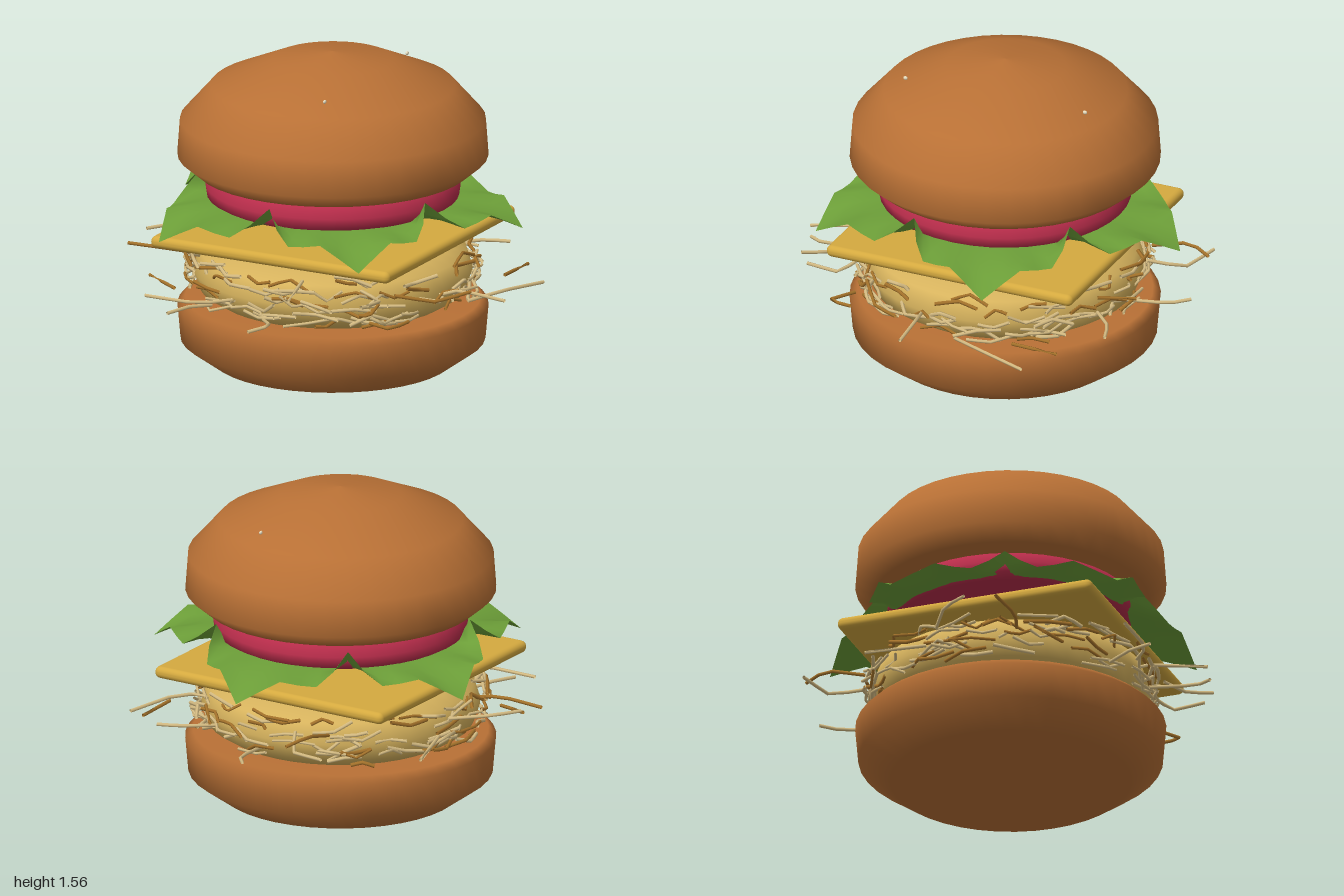
import * as THREE from 'three';
import { mergeGeometries } from 'three/addons/utils/BufferGeometryUtils.js';
import { RoundedBoxGeometry } from 'three/addons/geometries/RoundedBoxGeometry.js';

const mat = (color, extra = {}) => new THREE.MeshStandardMaterial({ color, ...extra });

// Small seeded generator
function seeded(seed) {
  return () => {
    seed = (seed * 1664525 + 1013904223) % 4294967296;
    return seed / 4294967296;
  };
}

function lathe(name, profile, material, segments = 40) {
  const points = profile.map(([r, y]) => new THREE.Vector2(r, y));
  const mesh = new THREE.Mesh(new THREE.LatheGeometry(points, segments), material);
  mesh.name = name;
  return mesh;
}

// Pentagonal leaf ring: five drooping tips, five folds rising against the tomato
function lettuceGeometry() {
  const edgeY = [0.71, 0.77, 0.82, 0.80, 0.79, 0.85, 0.93];
  const steps = 60, rings = 4, pos = [], index = [];
  for (let i = 0; i < steps; i++) {
    const k = i % 12 <= 6 ? i % 12 : 12 - (i % 12);
    const fromTip = THREE.MathUtils.degToRad(k * 6);
    let outer = 0.94 * Math.cos(Math.PI / 5) / Math.cos(Math.PI / 5 - fromTip);
    if (k === 5) outer = 0.72;
    if (k === 6) outer = 0.65;
    const angle = Math.PI + (i / steps) * Math.PI * 2;
    for (let j = 0; j < rings; j++) {
      const f = j / (rings - 1);
      const r = THREE.MathUtils.lerp(0.55, outer, f);
      const y = THREE.MathUtils.lerp(0.825, edgeY[k], f * f);
      pos.push(Math.sin(angle) * r, y, Math.cos(angle) * r);
      if (j < rings - 1) {
        const a = i * rings + j, b = ((i + 1) % steps) * rings + j;
        index.push(a, a + 1, b + 1, a, b + 1, b);
      }
    }
  }
  const g = new THREE.BufferGeometry();
  g.setAttribute('position', new THREE.Float32BufferAttribute(pos, 3));
  g.setIndex(index);
  g.computeVertexNormals();
  return g;
}

// Kinked thin stick through a few points
function strand(points, radius = 0.009) {
  const path = new THREE.CatmullRomCurve3(points, false, 'catmullrom', 0.1);
  return new THREE.TubeGeometry(path, (points.length - 1) * 2, radius, 5);
}

// Long loose strands: height, then x, z pairs from the tip inward
const looseStrands = [
  [0.50, -0.48, -0.92, -0.28, -0.86, -0.19, -0.70],
  [0.55, -0.31, -0.97, -0.36, -0.85, -0.35, -0.65],
  [0.43, -0.07, -0.99, 0.00, -0.90, 0.02, -0.68],
  [0.53, 0.22, -0.83, 0.34, -0.68],
  [0.46, 0.54, -0.81, 0.42, -0.77, 0.30, -0.66],
  [0.42, 0.73, -0.64, 0.73, -0.40],
  [0.38, 0.88, -0.52, 0.80, -0.25, 0.70, -0.08],
  [0.46, 0.99, 0.08, 0.75, 0.09, 0.65, 0.12],
  [0.51, 0.85, 0.17, 0.74, 0.33, 0.58, 0.45],
  [0.42, 0.68, 0.49, 0.65, 0.62, 0.50, 0.55],
  [0.56, 0.60, 0.76, 0.58, 0.60, 0.45, 0.55],
  [0.53, 0.45, 0.86, 0.35, 0.76, 0.20, 0.70],
  [0.41, 0.06, 0.99, 0.13, 0.89, -0.01, 0.70],
  [0.57, 0.24, 0.91, 0.18, 0.65],
  [0.40, -0.45, 0.87, -0.40, 0.74, -0.34, 0.62],
  [0.45, -0.61, 0.80, -0.32, 0.80, -0.18, 0.70],
  [0.42, -0.80, 0.40, -0.62, 0.48],
  [0.52, -0.99, 0.27, -0.75, 0.28, -0.62, 0.24],
  [0.55, -0.98, 0.10, -0.90, -0.03, -0.72, -0.14],
  [0.43, -0.78, -0.49, -0.70, -0.20],
];

function crispyStrands() {
  const rnd = seeded(7);
  const tones = [0xd9bf85, 0xa8752c];
  const buckets = [[], []];
  const add = (g) => buckets[rnd() < 0.68 ? 0 : 1].push(g);
  for (const [y, ...xz] of looseStrands) {
    const pts = [];
    for (let i = 0; i < xz.length; i += 2) {
      pts.push(new THREE.Vector3(xz[i], y + (i ? (rnd() - 0.5) * 0.06 : 0), xz[i + 1]));
    }
    add(strand(pts));
  }
  // Strands wrapped round the side of the patty
  for (let i = 0; i < 150; i++) {
    const a = rnd() * Math.PI * 2, y = 0.37 + rnd() * 0.22;
    const span = 0.14 + rnd() * 0.2;
    const pts = [-1, 0, 1].map((s) => {
      const r = 0.675 + rnd() * 0.07 - Math.abs(y - 0.46) * 0.25;
      const t = a + s * span * 0.5;
      return new THREE.Vector3(Math.sin(t) * r - 0.013, y + (rnd() - 0.5) * 0.06, Math.cos(t) * r - 0.018);
    });
    add(strand(pts, 0.007 + rnd() * 0.003));
  }
  // Strands lying on top of the patty
  for (let i = 0; i < 30; i++) {
    const a = rnd() * Math.PI * 2, r = 0.2 + rnd() * 0.32, dir = rnd() * Math.PI;
    const pts = [-0.1, 0, 0.1].map((s) => new THREE.Vector3(
      Math.sin(a) * r + Math.cos(dir) * s, 0.622 + (rnd() - 0.5) * 0.015,
      Math.cos(a) * r + Math.sin(dir) * s + (rnd() - 0.5) * 0.04));
    add(strand(pts));
  }
  const group = new THREE.Group();
  group.name = 'crispyStrands';
  buckets.forEach((list, i) => {
    const mesh = new THREE.Mesh(mergeGeometries(list), mat(tones[i], { side: THREE.DoubleSide }));
    mesh.name = i ? 'darkStrands' : 'lightStrands';
    group.add(mesh);
  });
  return group;
}

export function createModel() {
  const model = new THREE.Group();
  model.name = 'burger';
  const stack = new THREE.Group();
  stack.name = 'stack';
  stack.position.set(-0.013, 0, -0.018);
  model.add(stack, crispyStrands());

  const bun = mat(0xb87035);
  stack.add(
    lathe('bottomBun', [[0, 0], [0.59, 0], [0.743, 0.11], [0.758, 0.28], [0.72, 0.315], [0, 0.315]], bun),
    lathe('topBun', [[0, 0.97], [0.675, 0.97], [0.758, 1.04], [0.745, 1.22], [0.595, 1.39],
      [0.295, 1.52], [0, 1.56]], bun),
    lathe('patty', [[0, 0.31], [0.57, 0.32], [0.65, 0.37], [0.68, 0.46], [0.65, 0.56],
      [0.54, 0.615], [0, 0.625]], mat(0xd8b45e)),
    lathe('tomato', [[0, 0.815], [0.57, 0.815], [0.615, 0.84], [0.622, 0.89], [0.597, 0.945],
      [0.57, 0.952], [0, 0.952]], mat(0xb92d4b)),
  );

  const cheese = new THREE.Mesh(new RoundedBoxGeometry(1.32, 0.06, 1.32, 3, 0.028), mat(0xd4a93f));
  cheese.name = 'cheese';
  cheese.position.y = 0.668;
  const lettuce = new THREE.Mesh(lettuceGeometry(), mat(0x6c9e38, { side: THREE.DoubleSide }));
  lettuce.name = 'lettuce';
  stack.add(cheese, lettuce);

  // Thin round slices between tomato and top bun
  for (const [x, z] of [[-0.3, 0.25], [0.13, 0.3], [0.4, 0.02], [0.15, -0.32], [-0.28, -0.22]]) {
    const slice = new THREE.Mesh(new THREE.CylinderGeometry(0.11, 0.13, 0.02, 20), mat(0xb5763a));
    slice.name = 'slice';
    slice.position.set(x, 0.96, z);
    stack.add(slice);
  }

  // Sesame seeds barely showing through the crust
  for (const [x, y, z] of [[0.143, 1.437, -0.495], [0.195, 1.448, 0.445]]) {
    const seed = new THREE.Mesh(new THREE.SphereGeometry(0.012, 8, 6), mat(0xeadfc0));
    seed.name = 'sesameSeed';
    seed.scale.set(0.6, 0.8, 1);
    seed.position.set(x, y, z);
    stack.add(seed);
  }
  return model;
}
